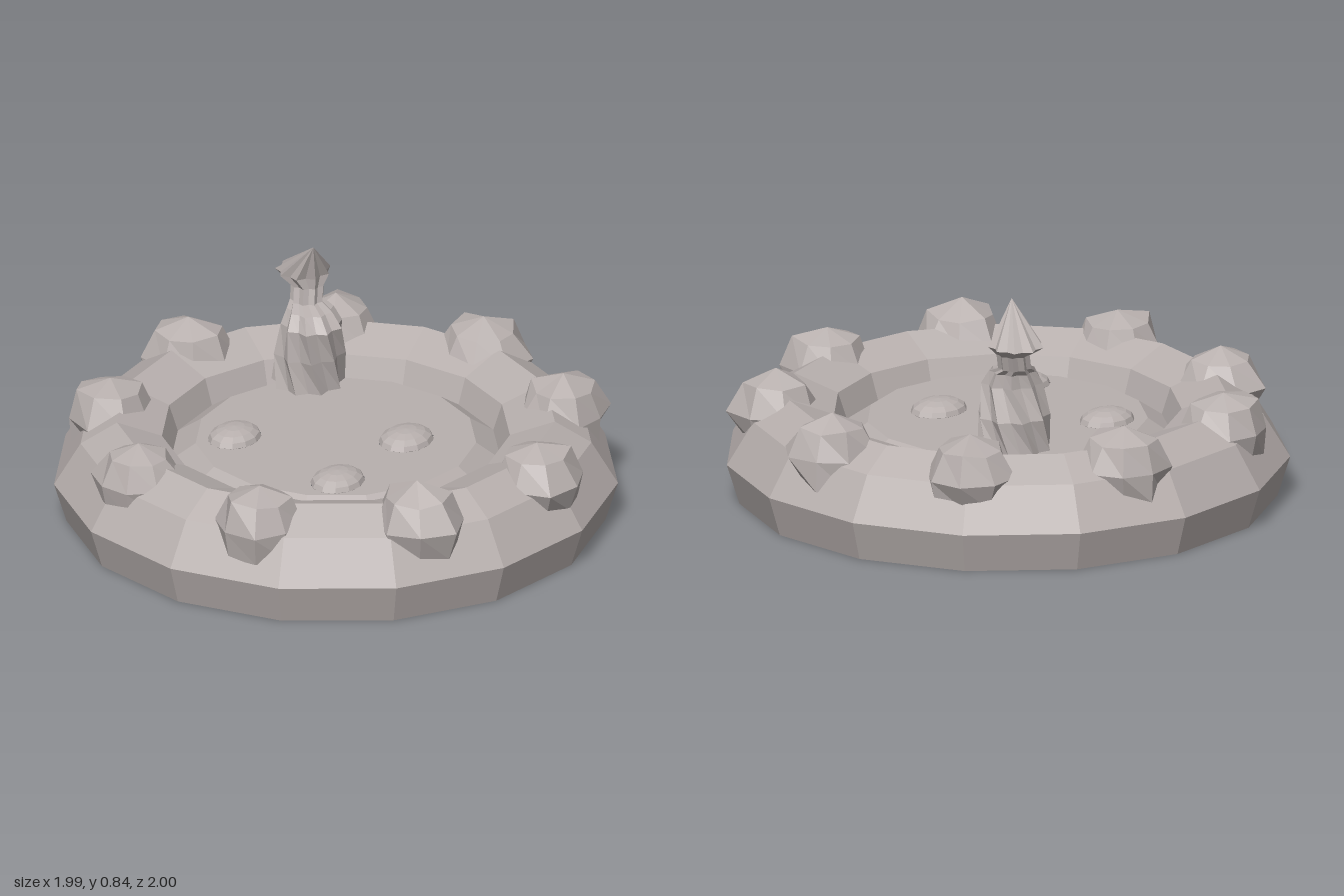
import * as THREE from 'three';

const SIDES = 15;

export function createModel() {
  const model = new THREE.Group();
  const stone = new THREE.MeshStandardMaterial({ color: 0xb8b0ae, flatShading: true, side: THREE.DoubleSide });
  stone.name = 'warm grey stone';

  const add = (name, geometry, x = 0, y = 0, z = 0) => {
    const mesh = new THREE.Mesh(geometry, stone);
    mesh.name = name;
    mesh.position.set(x, y, z);
    model.add(mesh);
    return mesh;
  };
  // Revolved profile with one corner on +x
  const lathe = (points) =>
    new THREE.LatheGeometry(points.map(([r, y]) => new THREE.Vector2(r, y)), SIDES, Math.PI / 2);

  // Hollow rim, open underneath, with a tapering inner wall hanging into the basin
  add('rim', lathe([[0.96, 0], [1.005, 0.145], [0.91, 0.3], [0.78, 0.375], [0.62, 0.315], [0.545, 0.095]]), -0.01);

  // Water: border sloping down to the wall, and a flat disc with holes under the bubbles
  const waterY = 0.28;
  add('waterBorder', lathe([[0.588, 0.22], [0.5, waterY]]), -0.01);
  const bubbles = [[-0.32, 0.18, 0.09, 0.11], [0.22, -0.1, 0.093, 0.113], [0.18, 0.32, 0.092, 0.112]];
  const disc = new THREE.Shape();
  for (let i = 0; i < SIDES; i++) {
    const a = (i / SIDES) * Math.PI * 2;
    disc[i ? 'lineTo' : 'moveTo'](0.5 * Math.cos(a), 0.5 * Math.sin(a));
  }
  for (const [x, z, rx, rz] of bubbles) {
    const hole = new THREE.Path();
    hole.absellipse(x + 0.01, -z, rx, rz, 0, Math.PI * 2, true);
    disc.holes.push(hole);
  }
  add('water', new THREE.ShapeGeometry(disc, 4).rotateX(-Math.PI / 2), -0.01, waterY);

  // Bubbles: low domes, open below
  for (const [x, z, rx, rz] of bubbles) {
    const dome = new THREE.SphereGeometry(1, 12, 5, 0, Math.PI * 2, 0, Math.PI * 0.62);
    add('bubble', dome.scale(rx, 0.045, rz), x, waterY, z);
  }

  // Irregular boulders with broad flat bottoms, evenly spaced around the rim
  const hash = (n) => {
    const s = Math.sin(n * 12.9898 + 4.1) * 43758.5453;
    return s - Math.floor(s);
  };
  for (let k = 0; k < 9; k++) {
    const geo = new THREE.SphereGeometry(1, 8, 4);
    const p = geo.attributes.position;
    for (let i = 0; i < p.count; i++) {
      const row = Math.floor(i / 9);
      const col = row === 0 || row === 4 ? 0 : (i % 9) % 8;
      const f = 0.86 + 0.26 * hash(k * 57 + row * 11 + col);
      const wide = row === 3 ? f * 1.15 : f;
      p.setXYZ(i, p.getX(i) * wide, Math.max(p.getY(i) * f * 1.12, -0.86), p.getZ(i) * wide);
    }
    geo.scale(0.165, 0.125, 0.165);
    const a = (k / 9) * Math.PI * 2;
    const rock = add('boulder', geo, 0.815 * Math.cos(a) - 0.005, 0.312, 0.815 * Math.sin(a));
    rock.rotation.y = -a + k * 1.3;
  }

  // Pleated, leaning spire: rows are [y, centre x, centre z, radius, twist]
  const rings = [
    [0.3, -0.305, -0.32, 0.132, 0],
    [0.42, -0.3, -0.32, 0.13, 0.3],
    [0.535, -0.28, -0.305, 0.112, 0.55],
    [0.585, -0.295, -0.32, 0.085, 0.6],
    [0.605, -0.325, -0.345, 0.06, 0.6],
    [0.66, -0.33, -0.36, 0.06, 0.6],
    [0.7, -0.36, -0.38, 0.1, 0.6],
    [0.84, -0.27, -0.295, 0, 0.6],
  ];
  const n = 18;
  const verts = [];
  const faces = [];
  rings.forEach(([y, cx, cz, r, twist], j) => {
    for (let i = 0; i < n; i++) {
      const a = (i / n) * Math.PI * 2 + twist;
      const rr = r * (i % 2 ? 0.83 : 1);
      verts.push(cx + rr * Math.cos(a), y, cz + rr * Math.sin(a));
      if (j) {
        const b = j * n + i, c = j * n + ((i + 1) % n);
        faces.push(b - n, b, c, b - n, c, c - n);
      }
    }
  });
  const spire = new THREE.BufferGeometry();
  spire.setAttribute('position', new THREE.Float32BufferAttribute(verts, 3));
  spire.setIndex(faces);
  spire.computeVertexNormals();
  add('spire', spire);

  return model;
}
